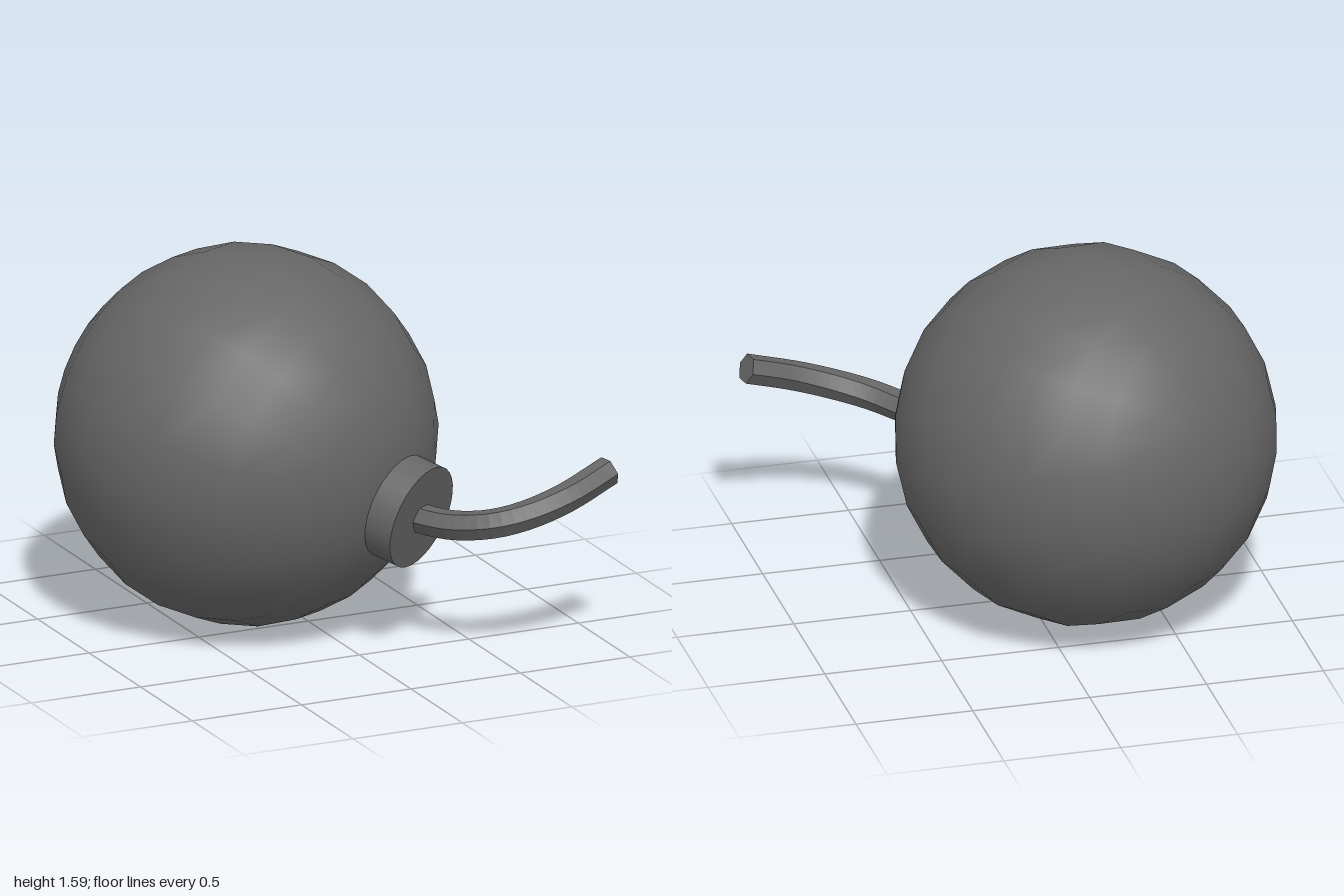
import * as THREE from 'three';

const material = (flat = false) =>
  new THREE.MeshStandardMaterial({ color: 0x666666, flatShading: flat });

// Hexagonal bar swept along a curve, closed at both ends
function sweepHexagon(curve, radius, steps) {
  const sides = 6, pos = [], index = [];
  const up = new THREE.Vector3(0, 1, 0);
  for (let i = 0; i <= steps; i++) {
    const p = curve.getPointAt(i / steps);
    const t = curve.getTangentAt(i / steps);
    const h = new THREE.Vector3().crossVectors(t, up).normalize();
    const v = new THREE.Vector3().crossVectors(h, t);
    for (let j = 0; j < sides; j++) {
      const a = (j / sides) * Math.PI * 2;
      const q = p.clone()
        .addScaledVector(h, Math.cos(a) * radius)
        .addScaledVector(v, Math.sin(a) * radius);
      pos.push(q.x, q.y, q.z);
    }
  }
  for (let i = 0; i < steps; i++) {
    for (let j = 0; j < sides; j++) {
      const a = i * sides + j, b = i * sides + (j + 1) % sides;
      index.push(a, a + sides, b, b, a + sides, b + sides);
    }
  }
  const last = steps * sides;
  for (let j = 1; j < sides - 1; j++) {
    index.push(0, j, j + 1, last, last + j + 1, last + j);
  }
  const g = new THREE.BufferGeometry();
  g.setAttribute('position', new THREE.Float32BufferAttribute(pos, 3));
  g.setIndex(index);
  g.computeVertexNormals();
  return g;
}

export function createModel() {
  const model = new THREE.Group();
  model.name = 'bomb';

  // Body and neck share one tilted axis
  const axis = new THREE.Vector3(0.457, -0.21, 0.73).normalize();
  const tilted = new THREE.Group();
  tilted.name = 'bodyAndNeck';
  tilted.position.set(-0.207, 0.797, -0.16);
  tilted.quaternion.setFromUnitVectors(new THREE.Vector3(0, 1, 0), axis);
  model.add(tilted);

  const body = new THREE.Mesh(new THREE.SphereGeometry(0.797, 20, 14), material());
  body.name = 'body';
  tilted.add(body);

  // Short collar that holds the fuse
  const neck = new THREE.Mesh(new THREE.CylinderGeometry(0.226, 0.226, 0.187, 32), material());
  neck.name = 'neck';
  neck.position.y = 0.793;
  tilted.add(neck);

  // Fuse leaves along the axis and bends to the left
  const path = new THREE.CatmullRomCurve3([
    [0.23, 0.585, 0.53], [0.275, 0.58, 0.62], [0.34, 0.583, 0.72], [0.45, 0.605, 0.825],
    [0.58, 0.64, 0.88], [0.75, 0.695, 0.896], [0.975, 0.775, 0.855],
  ].map((p) => new THREE.Vector3(...p)));
  const fuse = new THREE.Mesh(sweepHexagon(path, 0.063, 20), material(true));
  fuse.name = 'fuse';
  model.add(fuse);

  return model;
}
